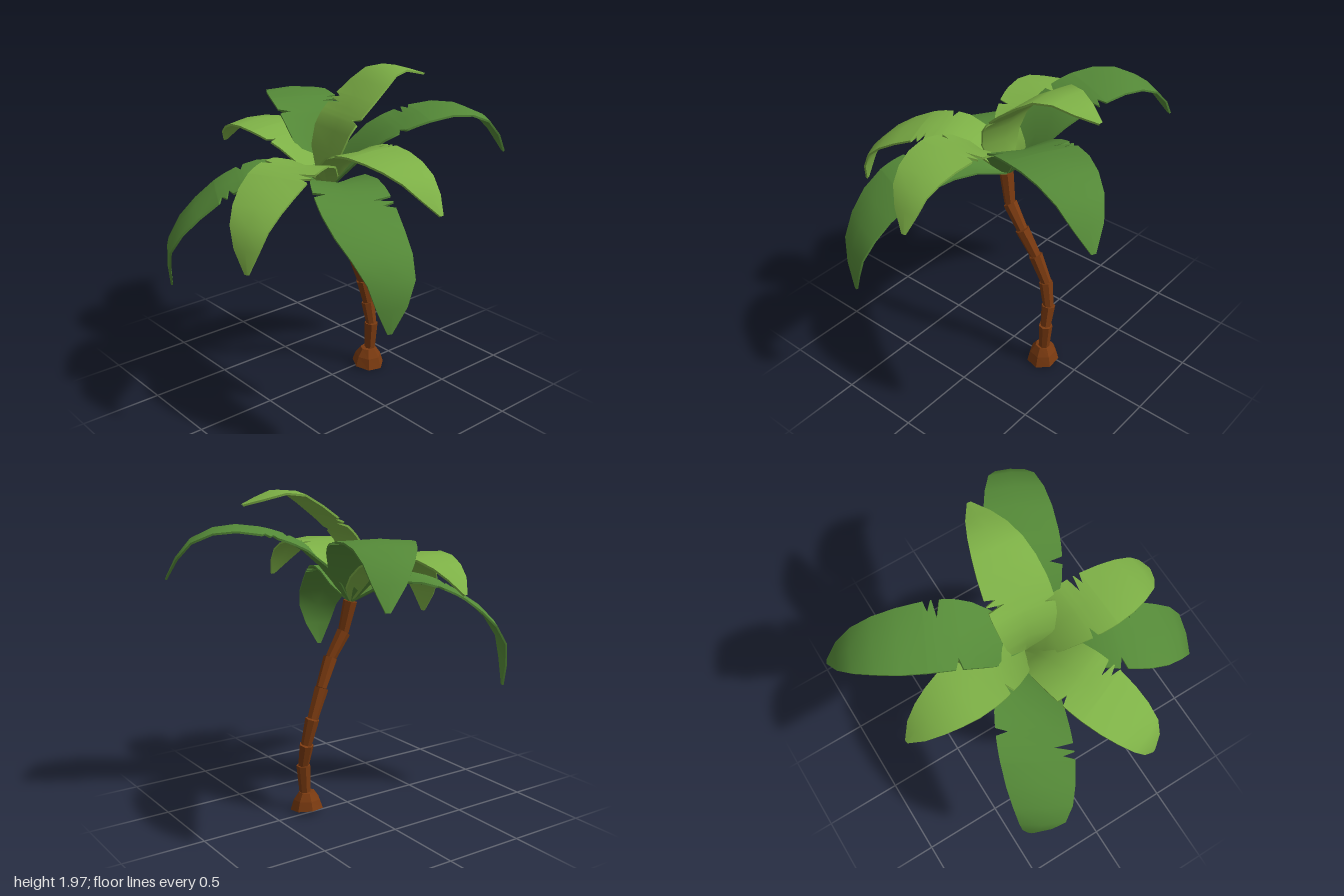
import * as THREE from 'three';
import { mergeGeometries } from 'three/addons/utils/BufferGeometryUtils.js';

const V = (p) => new THREE.Vector3(...p);
const UP = new THREE.Vector3(0, 1, 0);

// Smooth surface through rows of points (columns run left to right)
function grid(rows) {
  const n = rows[0].length, index = [];
  for (let i = 0; i < rows.length - 1; i++) {
    for (let j = 0; j < n - 1; j++) {
      const a = i * n + j, b = a + 1, c = a + n, d = c + 1;
      index.push(a, b, c, b, d, c);
    }
  }
  const g = new THREE.BufferGeometry().setFromPoints(rows.flat());
  g.setIndex(index);
  g.computeVertexNormals();
  return g;
}

// Torn slits in the leaf edges: position along the rib and remaining width
const LEFT_SLITS = [[0.445, 0.48], [0.48, 0.68]];
const RIGHT_SLITS = [[0.375, 0.66]];
const STATIONS = [0, 0.1, 0.2, 0.3, 0.4, 0.5, 0.6, 0.7, 0.8, 0.9, 1];
for (const [t] of [...LEFT_SLITS, ...RIGHT_SLITS]) STATIONS.push(t - 0.015, t, t + 0.015);
STATIONS.sort((a, b) => a - b);

// Half-width of a frond at t, narrowed where a slit cuts in
function halfWidth(t, slits) {
  const slit = slits.find(([s]) => s === t);
  const bulge = Math.max(0, Math.sin(Math.PI * t ** 0.85)) ** 0.75;
  return (0.012 + 0.178 * bulge) * (slit ? slit[1] : 1);
}

// Thin curved leaf following a rib, folded into a V near its base
function frondGeometry(points, width, flip) {
  const thick = 0.012;
  const rib = new THREE.CatmullRomCurve3([V([0.02, 1.29, 0.04]), ...points.map(V)], false, 'centripetal');
  const along = rib.getPoint(1).sub(rib.getPoint(0)).setY(0).normalize();
  const side = along.cross(UP).normalize();
  const top = [], bottom = [], leftRim = [], rightRim = [];
  for (const t of STATIONS) {
    const wl = halfWidth(t, flip ? RIGHT_SLITS : LEFT_SLITS);
    const wr = halfWidth(t, flip ? LEFT_SLITS : RIGHT_SLITS);
    const mid = rib.getPointAt(t);
    const normal = side.clone().cross(rib.getTangentAt(t)).normalize();
    const fold = 0.35 * Math.max(-0.25, 1 - t * 2.2);
    const edge = (w) => mid.clone().addScaledVector(side, w * width)
      .addScaledVector(normal, Math.abs(w) * width * fold);
    const up = [edge(-wl), mid, edge(wr)];
    const down = up.map((p) => p.clone().addScaledVector(normal, -thick));
    top.push(up);
    bottom.push([down[2], down[1], down[0]]);
    leftRim.push([down[0], up[0]]);
    rightRim.push([up[2], down[2]]);
  }
  return mergeGeometries([top, bottom, leftRim, rightRim].map(grid));
}

// Tapered faceted piece between two points
function taperedPiece(a, b, r0, r1, twist) {
  const dir = b.clone().sub(a), len = dir.length();
  const g = new THREE.CylinderGeometry(r1, r0, len, 7).toNonIndexed();
  g.computeVertexNormals();
  g.rotateY(twist);
  g.translate(0, len / 2, 0);
  g.applyQuaternion(new THREE.Quaternion().setFromUnitVectors(UP, dir.normalize()));
  return g.translate(a.x, a.y, a.z);
}

// Ribs of the fronds, from near the crown out to the tip
const DARK_RIBS = {
  backRightFrond: [[0.18, 1.61, -0.2], [0.35, 1.76, -0.57], [0.46, 1.67, -0.82], [0.52, 1.45, -0.94]],
  backLeftFrond: [[-0.3, 1.65, -0.1], [-0.65, 1.75, -0.23], [-0.88, 1.65, -0.35], [-0.99, 1.44, -0.44]],
  frontLeftFrond: [[-0.13, 1.41, 0.3], [-0.29, 1.31, 0.68], [-0.4, 1.04, 0.91], [-0.455, 0.74, 0.88]],
  frontRightFrond: [[0.35, 1.43, 0.22], [0.7, 1.35, 0.37], [0.95, 1.09, 0.4], [0.95, 0.8, 0.41]],
};
const LIGHT_RIBS = {
  uprightBackFrond: [[0.04, 1.6, 0.04], [0.06, 1.86, -0.16], [0.07, 1.975, -0.36], [0.09, 1.9, -0.65]],
  leftFrond: [[-0.22, 1.54, 0.11], [-0.5, 1.64, 0.18], [-0.73, 1.56, 0.2], [-0.84, 1.44, 0.2]],
  rightFrond: [[0.22, 1.53, 0.08], [0.52, 1.63, 0.1], [0.79, 1.54, 0.07], [0.91, 1.35, 0.01]],
  frontFrond: [[0.09, 1.49, 0.27], [0.21, 1.49, 0.6], [0.33, 1.3, 0.86], [0.37, 1.08, 0.9]],
};
const FLIPPED = ['backLeftFrond', 'leftFrond'];

// Joints of the curved trunk, from root to crown
const JOINTS = [
  [0.045, 0.11, -0.285], [0.045, 0.3, -0.295], [0.015, 0.44, -0.29], [0, 0.6, -0.255],
  [0.015, 0.78, -0.18], [0.04, 0.95, -0.095], [0.04, 1.1, 0], [0.023, 1.29, 0.04],
].map(V);

// Flared root with a slightly slanted foot
function rootGeometry() {
  const profile = [[0, 0], [0.103, 0], [0.083, 0.07], [0.05, 0.125], [0, 0.13]];
  const g = new THREE.LatheGeometry(profile.map(([x, y]) => new THREE.Vector2(x, y)), 7).toNonIndexed();
  const pos = g.attributes.position;
  for (let i = 0; i < pos.count; i++) {
    const y = pos.getY(i);
    pos.setY(i, y + (0.016 - 0.15 * pos.getX(i)) * (1 - y / 0.13));
  }
  g.computeVertexNormals();
  return g.translate(0.04, 0, -0.275);
}

function paint(name, color) {
  const material = new THREE.MeshStandardMaterial({ color });
  material.name = name;
  return material;
}

function addGroup(parent, name) {
  const group = new THREE.Group();
  group.name = name;
  parent.add(group);
  return group;
}

function addMesh(parent, name, geometry, material) {
  const mesh = new THREE.Mesh(geometry, material);
  mesh.name = name;
  parent.add(mesh);
}

export function createModel() {
  const bark = paint('bark brown', 0x7a3a10);
  const light = paint('light leaf green', 0x7db046);
  const dark = paint('dark leaf green', 0x558a38);

  const palm = new THREE.Group();
  palm.name = 'palmTree';

  // Trunk: stacked pieces, each flaring towards its top
  const trunk = addGroup(palm, 'trunk');
  for (let i = 0; i < JOINTS.length - 1; i++) {
    addMesh(trunk, 'trunkSegment', taperedPiece(JOINTS[i], JOINTS[i + 1], 0.034, 0.044, i * 0.4), bark);
  }
  addMesh(trunk, 'root', rootGeometry(), bark);

  // Crown: broad dark fronds below, slimmer light fronds above
  const crown = addGroup(palm, 'crown');
  for (const [ribs, width, material] of [[DARK_RIBS, 1.1, dark], [LIGHT_RIBS, 0.98, light]]) {
    for (const [name, rib] of Object.entries(ribs)) {
      addMesh(crown, name, frondGeometry(rib, width, FLIPPED.includes(name)), material);
    }
  }
  return palm;
}
